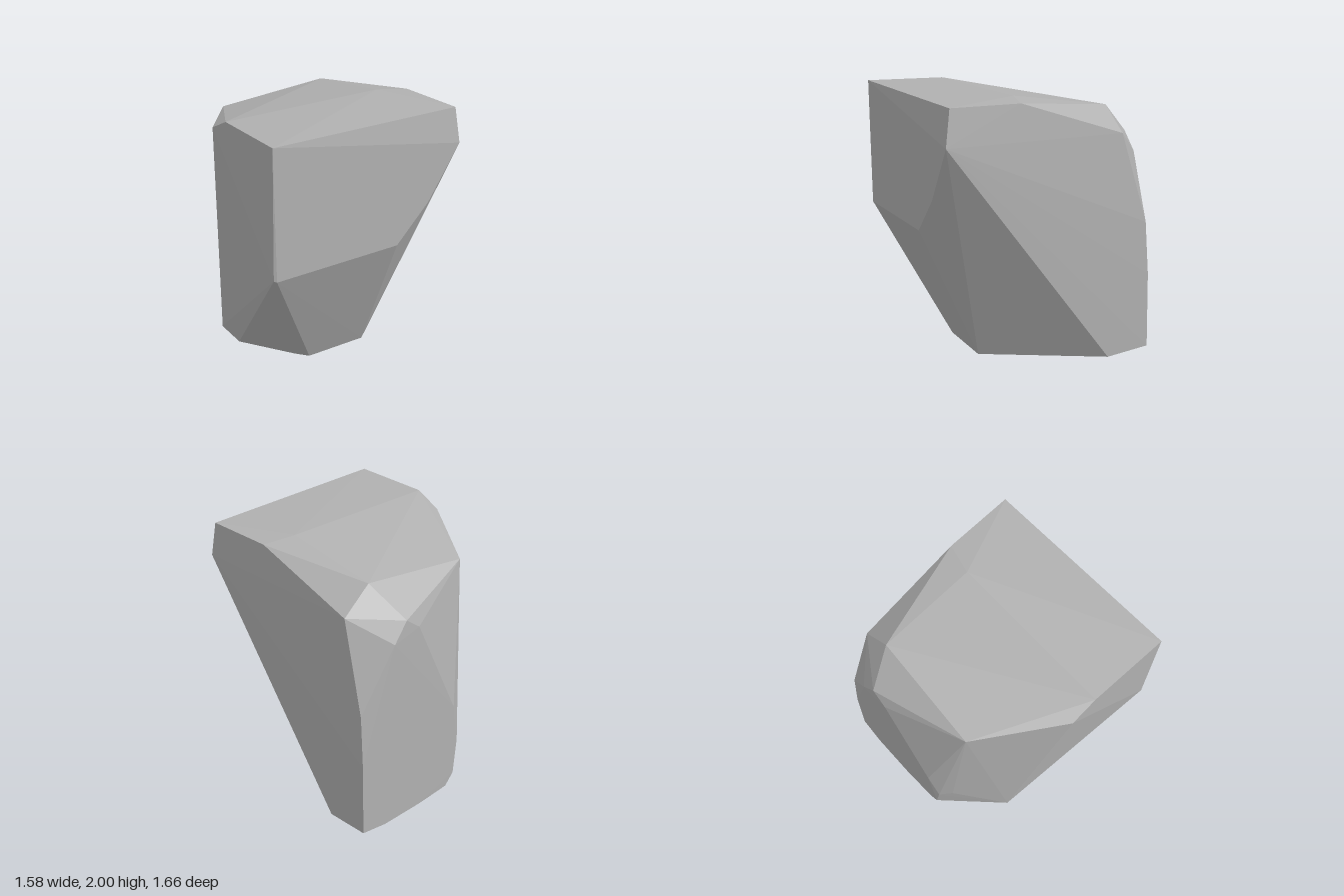
import * as THREE from 'three';
import { ConvexGeometry } from 'three/addons/geometries/ConvexGeometry.js';

// Corners of the boulder, grouped by side
const frontCorners = [
  [-0.79, 2, 0.83], [0.76, 1.985, 0.79], [0.785, 1.72, 0.83],
  [0.52, 1.31, 0.83], [0.25, 1.03, 0.83], [-0.77, 1.02, 0.83], [-0.79, 1.03, 0.82],
];
const topCorners = [
  [-0.79, 1.99, 0.2], [0.5, 2, 0.19], [0.74, 1.98, 0.25],
  [-0.79, 1.89, 0], [-0.38, 1.8, -0.61], [0.5, 1.89, -0.57], [0.73, 1.71, -0.58],
];
const backCorners = [
  [0.38, 1.66, -0.82], [0.26, 1.57, -0.825], [0.5, 1.52, -0.83], [0.77, 1.03, -0.78],
  [0.78, 0.62, -0.81], [-0.14, 0.73, -0.83], [-0.22, 0.38, -0.81], [-0.3, 0.45, -0.73],
];
const baseCorners = [
  [0.28, 0, 0.38], [-0.22, 0, 0.38], [-0.3, 0, 0.29], [-0.58, 0, -0.1], [-0.58, 0, -0.38],
  [-0.35, 0, -0.6], [-0.18, 0.09, -0.82], [-0.1, 0, -0.82], [0.2, 0, -0.83],
  [0.57, 0.01, -0.83], [0.785, 0.04, -0.82], [0.785, 0.01, -0.47],
];

export function createModel() {
  const stone = new THREE.MeshStandardMaterial({ color: 0xb0b0b0, flatShading: true });
  stone.name = 'stone grey';

  // Faceted rock wrapped around the corners
  const corners = [...frontCorners, ...topCorners, ...backCorners, ...baseCorners]
    .map((p) => new THREE.Vector3(...p));
  const boulder = new THREE.Mesh(new ConvexGeometry(corners), stone);
  boulder.name = 'boulder';

  const group = new THREE.Group();
  group.name = 'rock';
  group.add(boulder);
  return group;
}
